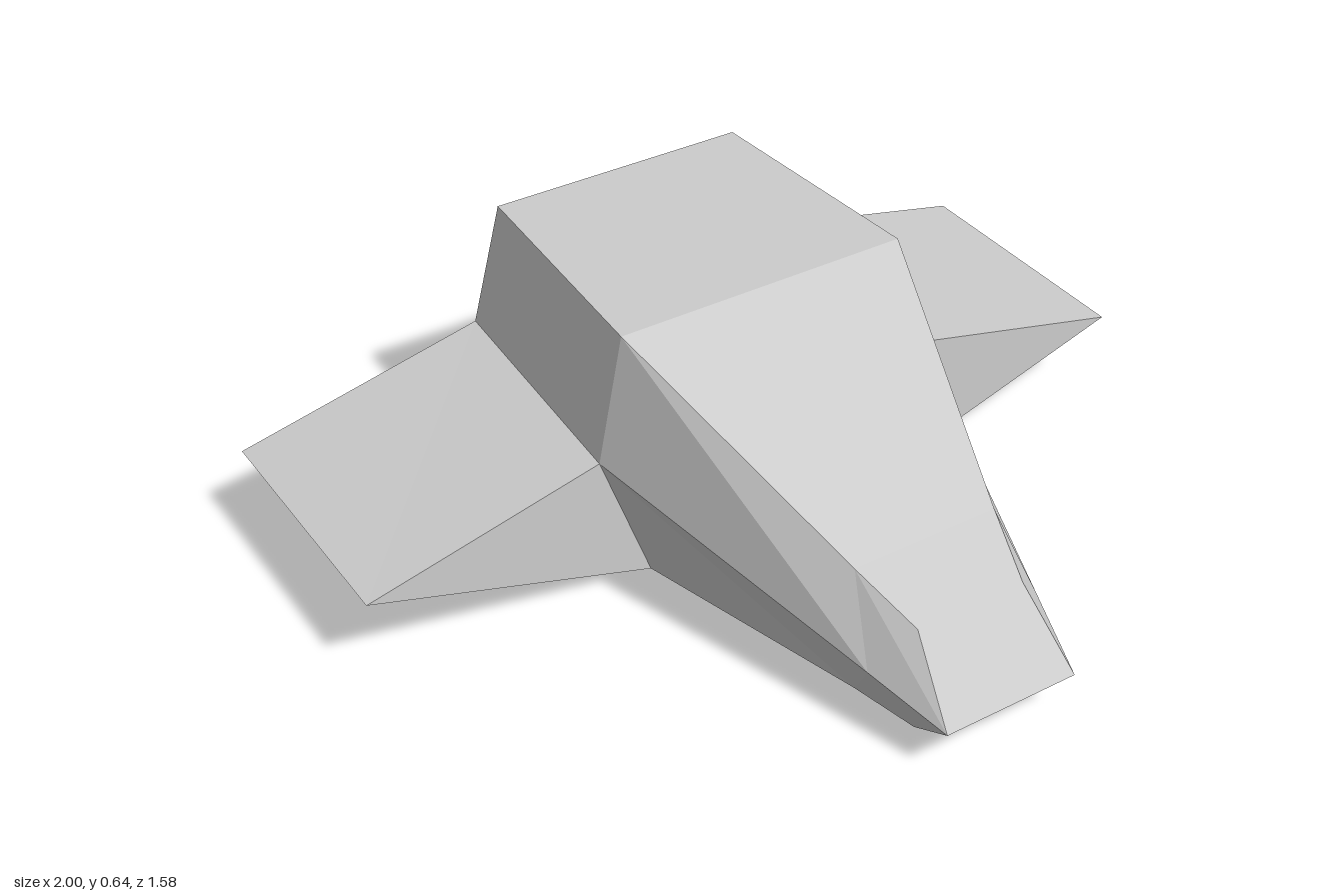
import * as THREE from 'three';

const material = new THREE.MeshStandardMaterial({ color: 0xcccccc, flatShading: true });
const wingMaterial = material.clone();
wingMaterial.side = THREE.DoubleSide;

// Skin rings of [x, y, z] points, listed back to front, each counterclockwise seen from +z.
// Both ends are capped; skipSide leaves one side strip open.
function loft(name, rings, mat, skipSide = -1) {
  const pos = [];
  const tri = (a, b, c) => pos.push(...a, ...b, ...c);
  const n = rings[0].length;
  for (let r = 0; r < rings.length - 1; r++) {
    const back = rings[r], front = rings[r + 1];
    for (let i = 0; i < n; i++) {
      if (i === skipSide) continue;
      const j = (i + 1) % n;
      tri(back[i], back[j], front[j]);
      tri(back[i], front[j], front[i]);
    }
  }
  const first = rings[0], last = rings[rings.length - 1];
  for (let i = 1; i < n - 1; i++) {
    tri(first[0], first[i + 1], first[i]);
    tri(last[0], last[i], last[i + 1]);
  }
  const geometry = new THREE.BufferGeometry();
  geometry.setAttribute('position', new THREE.Float32BufferAttribute(pos, 3));
  geometry.computeVertexNormals();
  const mesh = new THREE.Mesh(geometry, mat);
  mesh.name = name;
  return mesh;
}

// Symmetric six-sided hull section from its top, waist and bottom points
function hullRing([top, waist, bottom]) {
  const mirror = ([x, y, z]) => [-x, y, z];
  return [waist, top, mirror(top), mirror(waist), mirror(bottom), bottom];
}

export function createModel() {
  const group = new THREE.Group();
  group.name = 'spacecraft';

  // Hull sections: top, waist and bottom corner, from tail to nose
  const tail = [[0.32, 0.64, -0.76], [0.39, 0.335, -0.79], [0.32, 0, -0.76]];
  const shoulder = [[0.36, 0.64, -0.13], [0.43, 0.335, -0.13], [0.32, 0, -0.12]];
  const neck = [[0.18, 0.34, 0.48], [0.222, 0.16, 0.59], [0.175, 0.012, 0.48]];
  const nose = [[0.135, 0.27, 0.64], [0.165, 0.11, 0.79], [0.135, 0.003, 0.64]];
  group.add(loft('hull', [tail, shoulder, neck, nose].map(hullRing), material));

  // Wedge wings running from the hull waist and keel out to a sharp tip edge
  const wingSections = [
    [tail[2], [1, 0.2, -0.79], tail[1]],
    [shoulder[2], [1, 0.2, -0.13], shoulder[1]],
  ];
  for (const [name, side] of [['leftWing', 1], ['rightWing', -1]]) {
    const rings = wingSections.map((ring) => {
      const points = ring.map(([x, y, z]) => [side * x, y, z]);
      return side > 0 ? points : points.reverse();
    });
    group.add(loft(name, rings, wingMaterial, 2));
  }
  return group;
}
